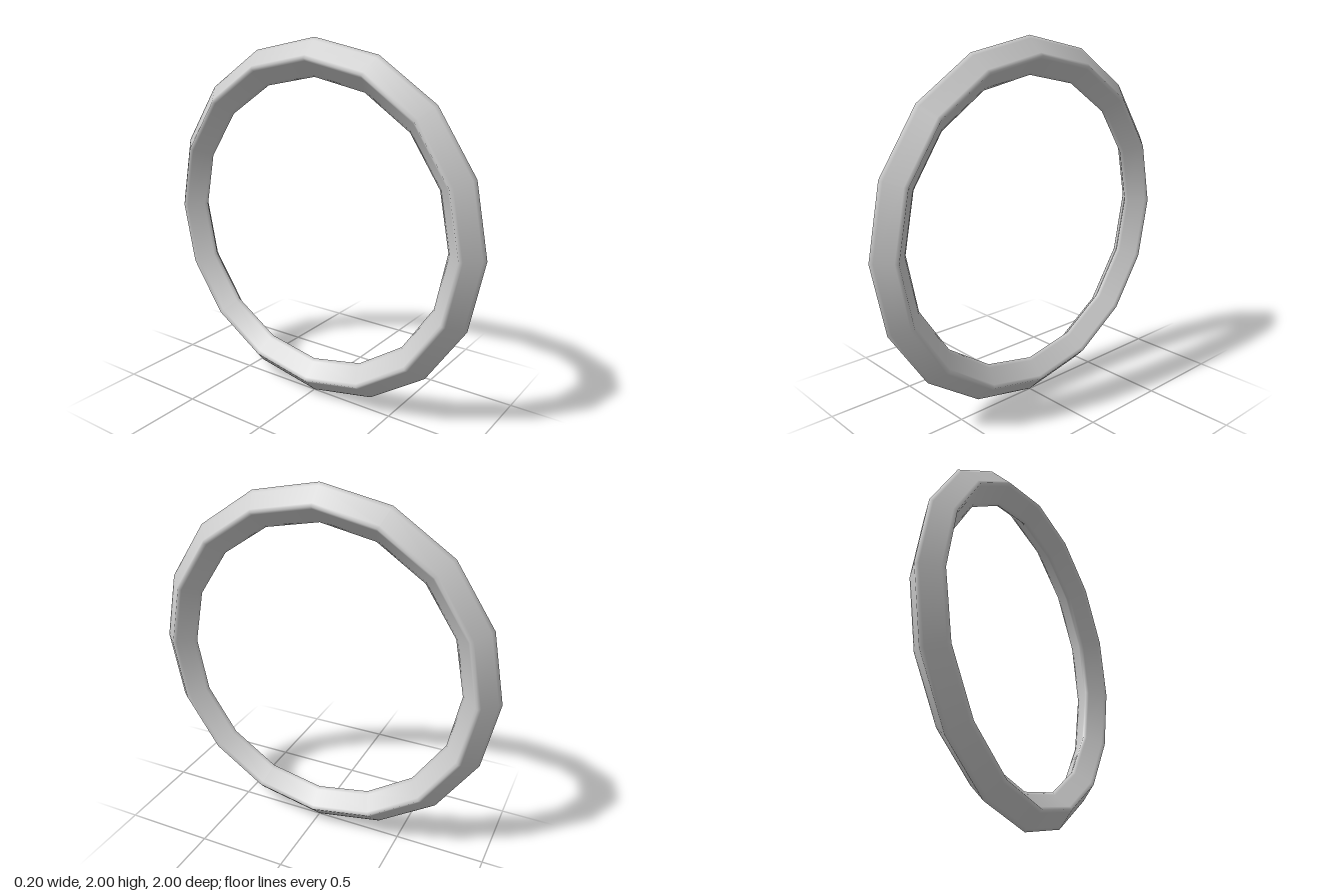
import * as THREE from 'three';

const RADIUS = 0.9;   // ring centre line
const HALF = 0.1;     // half diagonal of the diamond section
const SUPPORT = 0.15; // share of each side that softens towards a corner
const SIDES = 16;

export function createModel() {
  const model = new THREE.Group();

  // Diamond section, anticlockwise, with support points beside each corner
  const corners = [[0, -1], [1, 0], [0, 1], [-1, 0]]
    .map(([r, h]) => new THREE.Vector2(RADIUS + r * HALF, h * HALF));
  const profile = [corners[0].clone().lerp(corners[1], 0.5)];
  for (let i = 1; i <= 4; i++) {
    const corner = corners[i % 4];
    profile.push(
      corner.clone().lerp(corners[i - 1], SUPPORT),
      corner.clone(),
      corner.clone().lerp(corners[(i + 1) % 4], SUPPORT),
    );
  }
  profile.push(profile[0].clone());

  // Sixteen-sided ring, standing upright with its axis along x
  const geometry = new THREE.LatheGeometry(profile, SIDES);
  geometry.rotateZ(-Math.PI / 2);
  const ring = new THREE.Mesh(geometry, new THREE.MeshStandardMaterial({ color: 0xcccccc }));
  ring.name = 'ring';
  ring.position.y = RADIUS + HALF;
  model.add(ring);
  return model;
}
